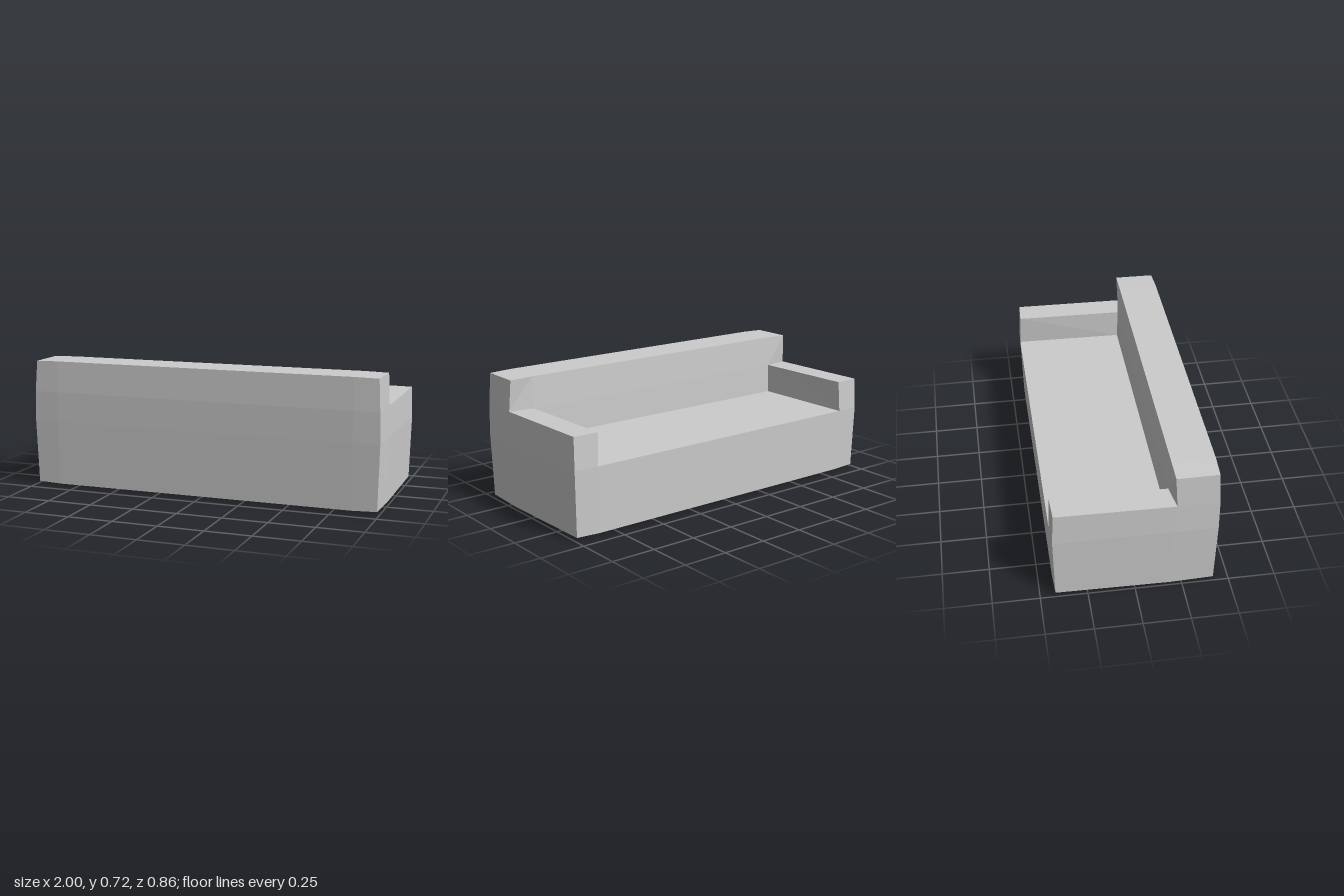
import * as THREE from 'three';

// Sofa made of a 3 x 3 x 2 grid of blocks, with slightly bulging outer faces.
const CELLS = [3, 3, 2];

// Which blocks are filled, and the part each belongs to (null = empty).
function partAt([i, j, k]) {
  if (i < 0 || j < 0 || k < 0 || i >= CELLS[0] || j >= CELLS[1] || k >= CELLS[2]) return null;
  if (j === 0) return 'seatBase';
  if (k === 1) return 'backrest';
  if (j === 1 && i === 0) return 'rightArm';
  if (j === 1 && i === 2) return 'leftArm';
  return null;
}

// Grid corner to position: outer corners are drawn in, middles bulge out.
function corner([i, j, k]) {
  const end = i === 0 || i === 3;
  const side = i < 2 ? -1 : 1;
  const bottom = j === 0;
  const top = j === 3;
  const edgeZ = k !== 1;

  let x = 0.852;
  if (end) x = 0.998 - (bottom ? 0.009 : top ? 0.014 : j === 2 ? 0.004 : 0) - (edgeZ ? 0.002 : 0);
  else if (j === 1 && k === 0) x = 0.86;

  let y = [0, 0.372, 0.541, 0.716][j];
  if (bottom) y = end ? (edgeZ ? 0.015 : 0.008) : (edgeZ ? 0.011 : 0);
  else if (top && end) y = 0.713;
  else if (j === 2 && k === 0) y = 0.547;

  let z;
  if (k === 1) z = top ? 0.197 : j === 2 ? (end ? 0.207 : 0.187) : 0.183;
  else {
    const drawnIn = bottom || top || (k === 0 && j === 2);
    z = (k === 0 ? -1 : 1) * (0.432 - (drawnIn ? 0.008 : 0) - (end ? 0.005 : 0));
  }
  return [side * x, y, z];
}

export function createModel() {
  const group = new THREE.Group();
  group.name = 'sofa';
  const faces = { seatBase: [], backrest: [], rightArm: [], leftArm: [] };

  // Collect every exposed block face.
  for (let i = 0; i < CELLS[0]; i++)
    for (let j = 0; j < CELLS[1]; j++)
      for (let k = 0; k < CELLS[2]; k++) {
        const cell = [i, j, k];
        const part = partAt(cell);
        if (!part) continue;
        for (let axis = 0; axis < 3; axis++)
          for (const dir of [0, 1]) {
            const next = [...cell];
            next[axis] += dir ? 1 : -1;
            if (partAt(next)) continue;
            const quad = [[0, 0], [1, 0], [1, 1], [0, 1]].map(([u, v]) => {
              const c = [...cell];
              c[axis] += dir;
              c[(axis + 1) % 3] += u;
              c[(axis + 2) % 3] += v;
              return corner(c);
            });
            if (!dir) quad.reverse();
            for (const n of [0, 1, 2, 0, 2, 3]) faces[part].push(...quad[n]);
          }
      }

  // One flat-shaded mesh per part.
  const material = new THREE.MeshStandardMaterial({ color: 0xcccccc, flatShading: true });
  for (const [name, positions] of Object.entries(faces)) {
    const geometry = new THREE.BufferGeometry();
    geometry.setAttribute('position', new THREE.Float32BufferAttribute(positions, 3));
    geometry.computeVertexNormals();
    const mesh = new THREE.Mesh(geometry, material);
    mesh.name = name;
    group.add(mesh);
  }
  return group;
}
